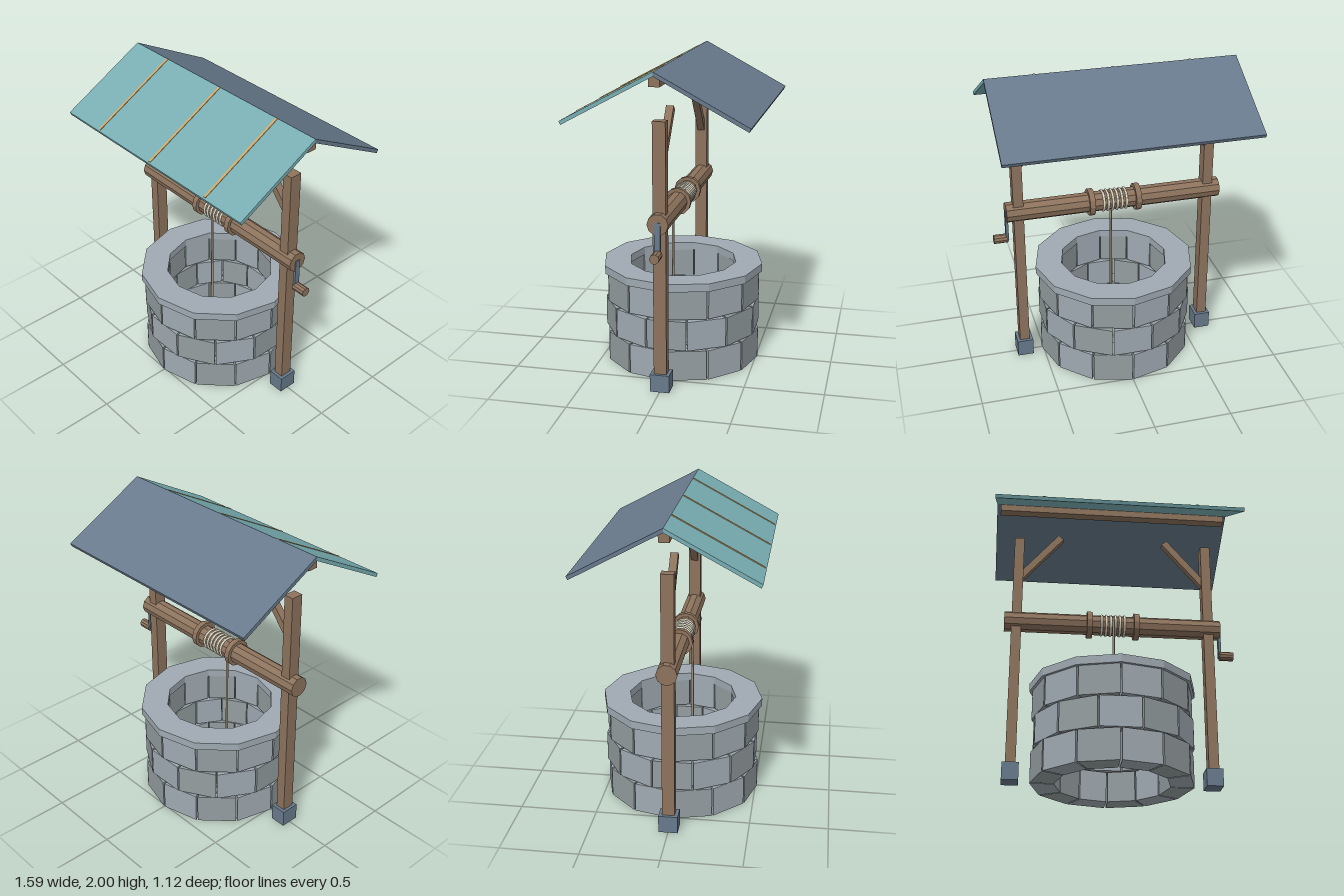
import * as THREE from 'three';

const mat = (name, color, flatShading = false) =>
  Object.assign(new THREE.MeshStandardMaterial({ color, flatShading }), { name });

export function createModel() {
  const model = new THREE.Group();
  model.name = 'wishingWell';

  const wood = mat('wood', 0x8d735d, true);
  const stoneBlue = mat('blueStone', 0xa0aab2);
  const stoneGrey = mat('greyStone', 0x949da0);
  const teal = mat('tealRoof', 0x78adb2);
  const slate = mat('slate', 0x687a8c);
  const gold = mat('goldStrip', 0xcfa766);
  const cream = mat('creamRope', 0xdfdcc9);
  const tan = mat('tanRope', 0x9a8f7a);

  const add = (name, geometry, material, x = 0, y = 0, z = 0, parent = model) => {
    const mesh = new THREE.Mesh(geometry, material);
    mesh.name = name;
    mesh.position.set(x, y, z);
    parent.add(mesh);
    return mesh;
  };
  const box = (w, h, d) => new THREE.BoxGeometry(w, h, d);
  // Cylinder lying along x
  const rod = (r, length, sides) => new THREE.CylinderGeometry(r, r, length, sides).rotateZ(Math.PI / 2);
  const polar = (r, a) => new THREE.Vector2(r * Math.cos(a), r * Math.sin(a));
  // Plan outline raised along y
  const raise = (shape, h) =>
    new THREE.ExtrudeGeometry(shape, { depth: h, bevelEnabled: false }).rotateX(-Math.PI / 2);

  // Three courses of wedge stones, the middle one turned by half a stone
  const wall = new THREE.Group();
  wall.name = 'stoneWall';
  model.add(wall);
  const step = Math.PI / 6, gap = 0.011, inner = 0.36, outer = 0.51;
  [[0, 0.197], [0.206, 0.192], [0.411, 0.189]].forEach(([y, h], course) => {
    for (let i = 0; i < 12; i++) {
      const a = (i + (course % 2) / 2) * step + gap, b = a + step - 2 * gap;
      const wedge = new THREE.Shape([polar(inner, a), polar(outer, a), polar(outer, b), polar(inner, b)]);
      add('stone', raise(wedge, h), (i + course) % 2 ? stoneBlue : stoneGrey, 0, y, 0, wall);
    }
  });

  // Twelve-sided coping ring
  const ring = (r) => Array.from({ length: 12 }, (_, i) => polar(r, i * step));
  const coping = new THREE.Shape(ring(0.53));
  coping.holes.push(new THREE.Path(ring(0.355)));
  add('coping', raise(coping, 0.052), stoneBlue, 0, 0.6, 0);

  // Posts, feet and braces on both sides
  for (const s of [-1, 1]) {
    add('post', box(0.065, 1.62, 0.08), wood, s * 0.631, 0.885, 0);
    add('foot', box(0.105, 0.113, 0.122), slate, s * 0.631, 0.0565, 0);
    const from = new THREE.Vector2(0.62, 1.41), to = new THREE.Vector2(0.352, 1.725);
    const brace = add('brace', box(0.045, from.distanceTo(to), 0.048), wood,
      s * (from.x + to.x) / 2, (from.y + to.y) / 2, 0);
    brace.rotation.z = s * Math.atan2(from.x - to.x, to.y - from.y);
  }

  // Windlass with its two flanges
  const axleY = 1.086;
  add('axle', rod(0.066, 1.42, 10), wood, 0, axleY, 0);
  for (const s of [-1, 1]) add('flange', rod(0.088, 0.036, 12), wood, s * 0.154, axleY, 0);

  // Rope wound on the axle and hanging into the shaft
  for (let i = 0; i < 6; i++) {
    const coil = new THREE.TorusGeometry(0.066, 0.008, 6, 20).rotateY(Math.PI / 2);
    add('ropeCoil', coil, cream, -0.075 + i * 0.03, axleY, 0);
  }
  add('hangingRope', new THREE.CylinderGeometry(0.008, 0.008, 0.96, 8), tan, 0, 0.61, 0.066);

  // Crank
  add('crankArm', box(0.018, 0.21, 0.036), slate, 0.707, 0.995, 0);
  add('crankHandle', rod(0.03, 0.09, 10), wood, 0.75, 0.9, 0);

  // Ridge beam and two roof slopes meeting at the ridge
  add('ridgeBeam', box(1.54, 0.065, 0.066), wood, 0, 1.943, 0);
  const slope = (s) => {
    const p = [[0, 2], [0.56, 1.7], [0.55, 1.678], [0, 1.974]];
    const shape = new THREE.Shape(p.map(([z, y]) => new THREE.Vector2(-s * z, y)));
    return new THREE.ExtrudeGeometry(shape, { depth: 1.59, bevelEnabled: false })
      .translate(0, 0, -0.795).rotateY(Math.PI / 2);
  };
  add('frontRoof', slope(1), teal);
  add('backRoof', slope(-1), slate);

  // Thin seam strips on the front slope
  const pitch = Math.atan2(0.3, 0.56);
  for (const x of [-0.49, 0, 0.49]) {
    const strip = add('roofSeam', box(0.016, 0.006, 0.62), gold, x, 1.8525, 0.277);
    strip.rotation.x = pitch;
  }
  return model;
}
